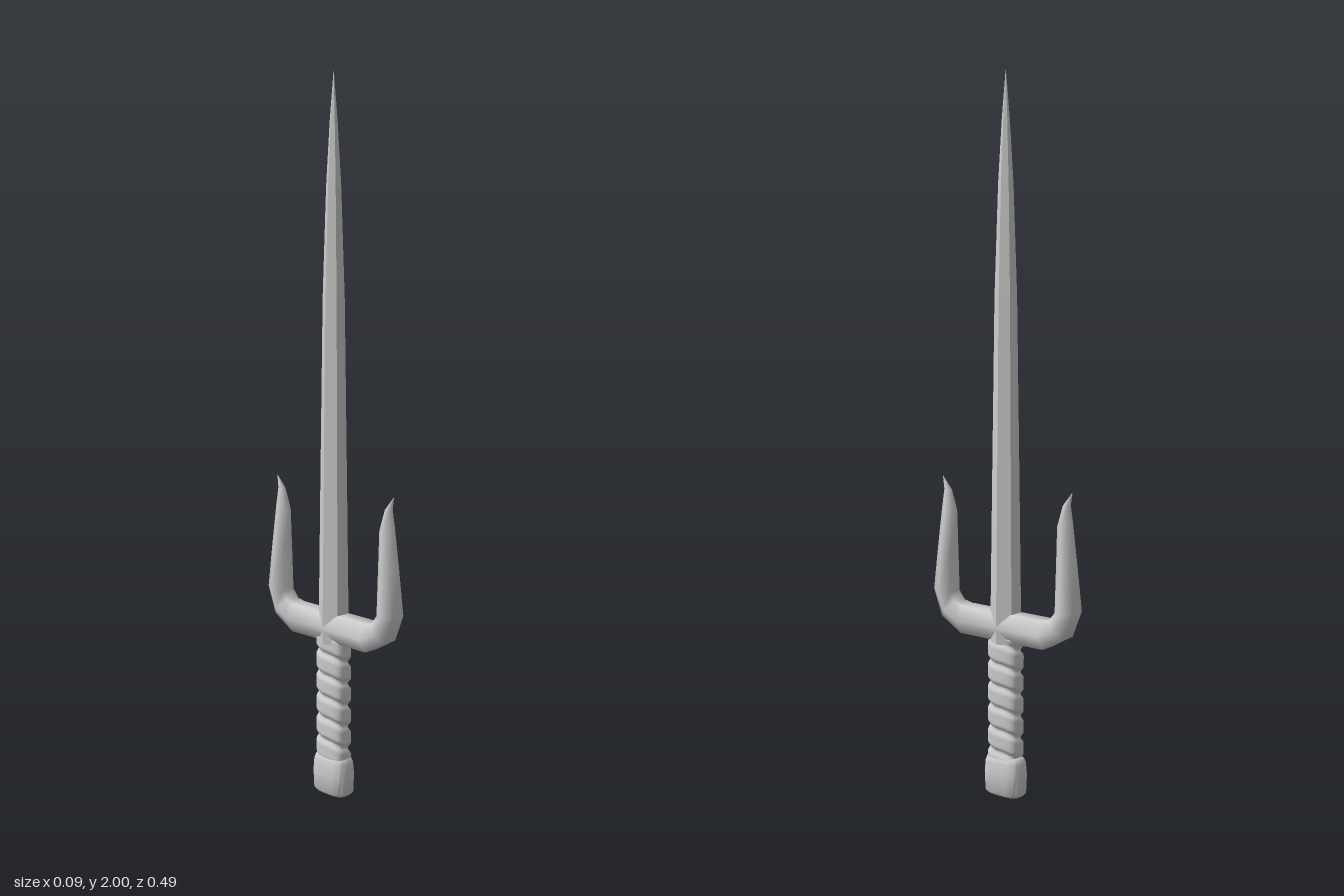
import * as THREE from 'three';
import { toCreasedNormals } from 'three/addons/utils/BufferGeometryUtils.js';

const steel = new THREE.MeshStandardMaterial({ color: 0xcccccc });
const steelFlat = new THREE.MeshStandardMaterial({ color: 0xcccccc, flatShading: true });

// Skins a list of rings (arrays of Vector3 of equal length) and caps both ends.
function loft(rings) {
  const n = rings[0].length, last = (rings.length - 1) * n, index = [];
  for (let i = 0; i < rings.length - 1; i++) {
    for (let j = 0; j < n; j++) {
      const k = (j + 1) % n;
      const a = i * n + j, b = i * n + k, c = a + n, d = b + n;
      index.push(a, c, b, c, d, b);
    }
  }
  for (let j = 1; j < n - 1; j++) {
    index.push(0, j, j + 1, last, last + j + 1, last + j);
  }
  const geometry = new THREE.BufferGeometry().setFromPoints(rings.flat());
  geometry.setIndex(index);
  geometry.computeVertexNormals();
  return geometry;
}

// One ring around a centre; fn(angle) returns its points.
function ring(sides, fn) {
  return Array.from({ length: sides }, (_, j) => fn((j / sides) * Math.PI * 2));
}

// Point on a rounded rectangle (superellipse) in the xz plane.
function roundedPoint(t, halfX, halfZ, y) {
  const soften = (v) => Math.sign(v) * Math.sqrt(Math.abs(v)) ** 1.25;
  return new THREE.Vector3(halfX * soften(Math.cos(t)), y, halfZ * soften(Math.sin(t)));
}

function add(group, name, geometry, material = steel) {
  const mesh = new THREE.Mesh(geometry, material);
  mesh.name = name;
  group.add(mesh);
}

export function createModel() {
  const group = new THREE.Group();

  // Six-sided blade tapering to a point: [y, radius]
  const bladeProfile = [[0.44, 0.044], [0.9, 0.038], [1.4, 0.031], [1.7, 0.021], [1.87, 0.011], [2, 0.0005]];
  add(group, 'blade', loft(bladeProfile.map(([y, r]) =>
    ring(6, (t) => new THREE.Vector3(r * Math.cos(t), y, r * Math.sin(t))))), steelFlat);

  // Guard and prongs, one half: [outer z, outer y, inner z, inner y, half width in x]
  const half = [
    [0.145, 0.445, 0.14, 0.525, 0.046],
    [0.215, 0.485, 0.168, 0.531, 0.045],
    [0.246, 0.56, 0.185, 0.555, 0.041],
    [0.234, 0.68, 0.186, 0.68, 0.033],
    [0.222, 0.8, 0.185, 0.79, 0.022],
    [0.218, 0.85, 0.2, 0.848, 0.012],
    [0.228, 0.886, 0.227, 0.885, 0.0005],
  ];
  const mirrored = half.map(([oz, oy, iz, iy, w]) => [-oz, oy, -iz, iy, w]).reverse();
  const guardRings = [...mirrored, ...half].map(([oz, oy, iz, iy, w]) => ring(6, (t) => {
    const s = Math.sin(t) / Math.sin(Math.PI / 3) / 2;
    return new THREE.Vector3(w * Math.cos(t), (oy + iy) / 2 + (oy - iy) * s, (oz + iz) / 2 + (oz - iz) * s);
  }));
  add(group, 'guardWithProngs', loft(guardRings));

  // Grip: flattened handle with a spiral groove between the turns of its wrapping
  const pitch = 0.063, bottom = 0.09, top = 0.455, steps = 90;
  const gripRings = Array.from({ length: steps + 1 }, (_, i) => {
    const y = bottom + (top - bottom) * i / steps;
    return ring(40, (t) => {
      const turn = (y - 0.125) / pitch - t / (Math.PI * 2);
      const distance = Math.abs(turn - Math.round(turn)) * pitch;
      const groove = Math.max(0, 1 - distance / 0.014) ** 1.2;
      return roundedPoint(t, 0.032 - 0.010 * groove, 0.052 - 0.009 * groove, y);
    });
  });
  add(group, 'wrappedGrip', loft(gripRings));

  // Pommel with softened rims: [y, half x, half z]
  const pommelProfile = [[0, 0.03, 0.053], [0.008, 0.036, 0.06], [0.06, 0.038, 0.062],
    [0.095, 0.036, 0.059], [0.107, 0.032, 0.054], [0.112, 0.026, 0.047]];
  add(group, 'pommel', toCreasedNormals(loft(pommelProfile.map(([y, hx, hz]) =>
    ring(32, (t) => roundedPoint(t, hx, hz, y)))), 0.7));

  return group;
}
